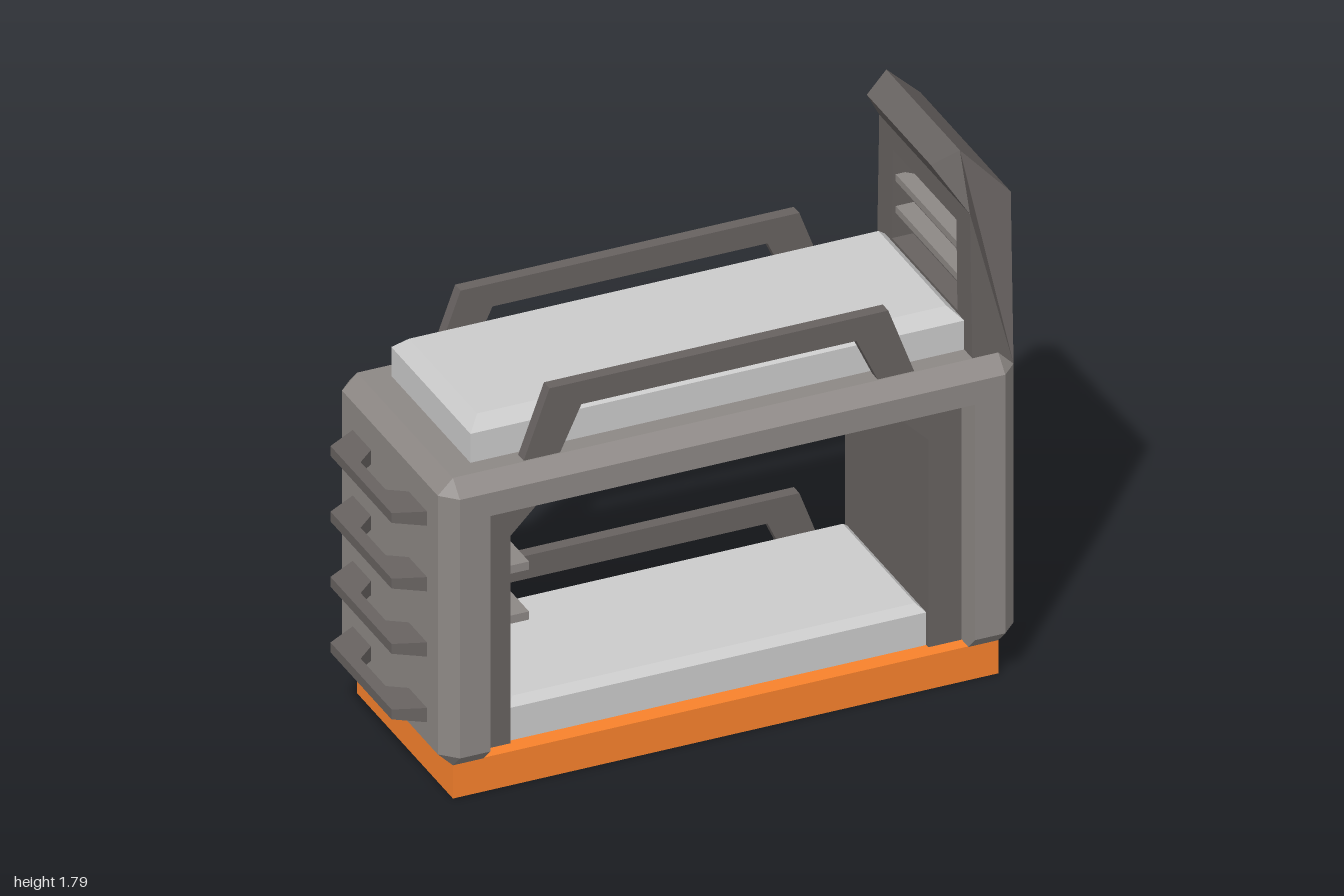
import * as THREE from 'three';

const material = (color) => new THREE.MeshStandardMaterial({ color, flatShading: true });
const LIGHT = material(0xcccccc);
const FRAME = material(0x8d8885);
const DARK = material(0x676260);
const ORANGE = material(0xf9822c);

// Extrudes an outline of [x, y] points from z0 to z1
function extrude(points, z0, z1, steps = 1) {
  const shape = new THREE.Shape(points.map(([x, y]) => new THREE.Vector2(x, y)));
  const geo = new THREE.ExtrudeGeometry(shape, { depth: z1 - z0, steps, bevelEnabled: false });
  return geo.translate(0, 0, z0);
}

// Moves every vertex by a rule and refreshes the flat normals
function reshape(geo, rule) {
  const p = geo.attributes.position;
  const v = new THREE.Vector3();
  for (let i = 0; i < p.count; i++) {
    rule(v.fromBufferAttribute(p, i));
    p.setXYZ(i, v.x, v.y, v.z);
  }
  geo.computeVertexNormals();
  return geo;
}

function box(x0, x1, y0, y1, z0, z1) {
  return new THREE.BoxGeometry(x1 - x0, y1 - y0, z1 - z0)
    .translate((x0 + x1) / 2, (y0 + y1) / 2, (z0 + z1) / 2);
}

// Slab with a sloping bevel round its top edge
function mattress(x0, x1, y0, y1, hz, bevel) {
  const geo = new THREE.BoxGeometry(x1 - x0, y1 - y0, 2 * hz, 1, 2, 1)
    .translate((x0 + x1) / 2, (y0 + y1) / 2, 0).toNonIndexed();
  const mid = (y0 + y1) / 2;
  return reshape(geo, (v) => {
    if (v.y > mid + 0.01) {
      v.x = THREE.MathUtils.clamp(v.x, x0 + bevel, x1 - bevel);
      v.z = THREE.MathUtils.clamp(v.z, bevel - hz, hz - bevel);
    } else if (v.y > mid - 0.01) v.y = y1 - bevel;
  });
}

export function createModel() {
  const group = new THREE.Group();
  const add = (name, geo, mat) => {
    const mesh = new THREE.Mesh(geo, mat);
    mesh.name = name;
    group.add(mesh);
    return mesh;
  };

  // Plinth
  add('base', box(-0.855, 0.94, 0, 0.117, -0.345, 0.345), ORANGE);

  // Arched outer frame, chamfered on its outside edges only
  const arch = [
    [-0.755, 0.115], [-0.755, 0.98], [0.84, 0.98], [0.84, 0.115], [0.94, 0.115], [0.99, 0.165],
    [0.99, 1.06], [0.94, 1.11], [-0.855, 1.11], [-0.905, 1.06], [-0.905, 0.165], [-0.855, 0.115],
  ];
  add('frame', reshape(extrude(arch, -0.395, 0.395, 3), (v) => {
    if (Math.abs(v.z) > 0.39) {
      v.x = THREE.MathUtils.clamp(v.x, -0.855, 0.94);
      v.y = THREE.MathUtils.clamp(v.y, 0.165, 1.06);
    } else v.z = Math.sign(v.z) * 0.345;
  }), FRAME);

  // Inner end walls with sloping corner braces
  for (const [name, x, s] of [['rightEndWall', -0.755, 1], ['leftEndWall', 0.84, -1]]) {
    const wall = [[0, 0.115], [0.11, 0.115], [0.11, 0.835], [0.255, 0.98], [0, 0.98]]
      .map(([dx, y]) => [x + s * dx, y]);
    add(name, extrude(wall, -0.3, 0.3), DARK);
  }
  const lamp = add('lampPanel', new THREE.BoxGeometry(0.13, 0.012, 0.42), LIGHT);
  lamp.position.set(-0.573, 0.907, 0);
  lamp.rotation.z = Math.PI / 4;

  // Mattresses
  add('lowerMattress', mattress(-0.645, 0.73, 0.115, 0.255, 0.285, 0.025), LIGHT);
  add('upperMattress', mattress(-0.77, 0.855, 1.11, 1.25, 0.285, 0.04), LIGHT);

  // Guard rails: both sides above, back side only below
  const rail = [
    [-0.62, 0], [-0.5, 0], [-0.43, 0.15], [0.475, 0.15],
    [0.545, 0], [0.665, 0], [0.58, 0.23], [-0.535, 0.23],
  ];
  const rails = [['upperFrontRail', 1.11, 0.3], ['upperBackRail', 1.11, -0.34], ['lowerBackRail', 0.14, -0.34]];
  for (const [name, y, z] of rails) {
    add(name, extrude(rail, z, z + 0.04).translate(0, y, 0), DARK);
  }

  // Ladder rungs, thinner toward the tip
  const rung = [
    [-0.9, 0.27], [-1, 0.22], [-1, -0.22], [-0.9, -0.27],
    [-0.9, -0.14], [-0.96, -0.09], [-0.96, 0.09], [-0.9, 0.14],
  ];
  for (const y of [0.26, 0.487, 0.713, 0.94]) {
    const geo = extrude(rung, -0.025, 0.025).rotateX(Math.PI / 2);
    add('ladderRung', reshape(geo, (v) => { v.y *= 1 - 3.2 * (-0.9 - v.x); }).translate(0, y, 0), DARK);
  }

  // Small shelves inside the lower bunk
  for (const y of [0.487, 0.66]) {
    add('innerShelf', box(-0.65, -0.543, y - 0.014, y + 0.014, -0.21, 0.21), FRAME);
  }

  // Headboard: leaning hood, narrowing upward, with a recess between two stiles
  const hood = [[0.99, 1.06], [0.99, 1.645], [0.85, 1.79], [0.77, 1.74], [0.855, 1.6]];
  const notch = [[0.855, 1.53], [0.925, 1.53], [0.925, 1.22], [0.855, 1.22]];
  const foot = [[0.855, 1.06]];
  const narrow = (v) => {
    const half = v.y <= 1.646 && v.x > 0.8
      ? THREE.MathUtils.mapLinear(v.y, 1.06, 1.645, 0.345, 0.325)
      : 0.325 - 0.43 * (0.99 - v.x);
    v.z *= half / 0.345;
  };
  add('headboardCentre', reshape(extrude([...hood, ...notch, ...foot], -0.24, 0.24), narrow), DARK);
  for (const z of [-0.345, 0.24]) {
    add('headboardStile', reshape(extrude([...hood, ...foot], z, z + 0.105), narrow), DARK);
  }
  for (const y of [1.32, 1.43]) {
    add('headboardShelf', box(0.865, 0.93, y - 0.012, y + 0.012, -0.23, 0.23), FRAME);
  }

  return group;
}
